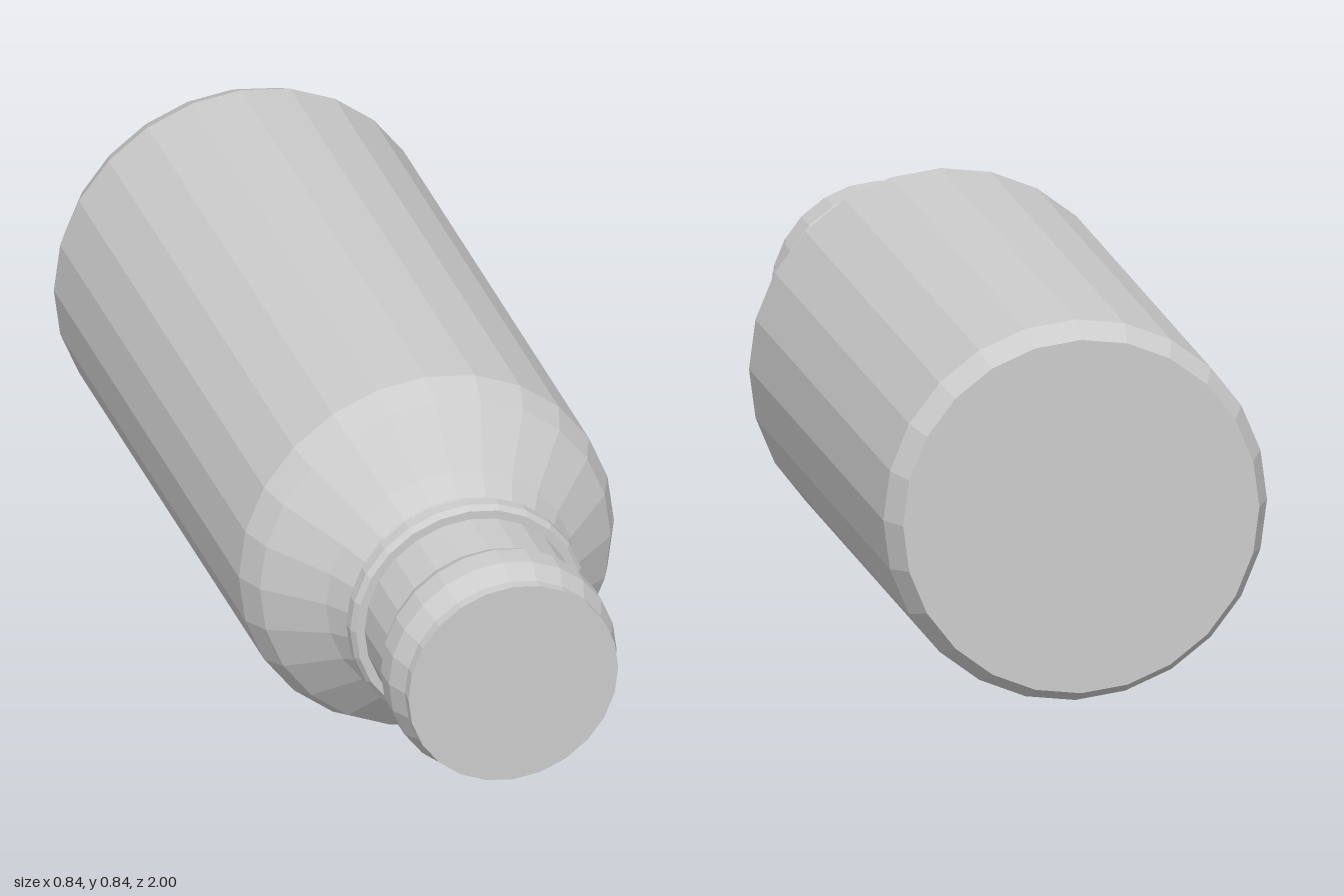
import * as THREE from 'three';

const SIDES = 24;
const RADIUS = 0.42;

export function createModel() {
  const material = new THREE.MeshStandardMaterial({ color: 0xcccccc, flatShading: true });
  const bottle = new THREE.Group();
  bottle.name = 'bottle';

  // Each part is turned from a profile of [radius, distance along the axis]
  const turn = (name, profile) => {
    const points = profile.map(([r, d]) => new THREE.Vector2(r, d));
    const mesh = new THREE.Mesh(new THREE.LatheGeometry(points, SIDES), material);
    mesh.name = name;
    bottle.add(mesh);
  };

  // Closed base, straight wall and sloping shoulder
  turn('body', [
    [0, -1], [0.39, -1], [RADIUS, -0.94], [RADIUS, 0.38],
    [0.393, 0.444], [0.278, 0.55], [0.242, 0.604], [0.235, 0.635],
  ]);

  // Thin bevelled ring at the foot of the neck
  turn('neckRing', [
    [0.235, 0.632], [0.254, 0.632], [0.263, 0.646],
    [0.263, 0.674], [0.254, 0.688], [0.235, 0.688],
  ]);

  // Neck with a rounded bulge and a closed mouth
  turn('neck', [
    [0.235, 0.635], [0.235, 0.825], [0.24, 0.835], [0.255, 0.866],
    [0.255, 0.925], [0.239, 0.965], [0.235, 0.975], [0.235, 1], [0, 1],
  ]);

  // Lay the bottle on its side with the mouth to the front
  bottle.rotation.x = Math.PI / 2;
  bottle.position.y = RADIUS;

  const model = new THREE.Group();
  model.name = 'lyingBottle';
  model.add(bottle);
  return model;
}
